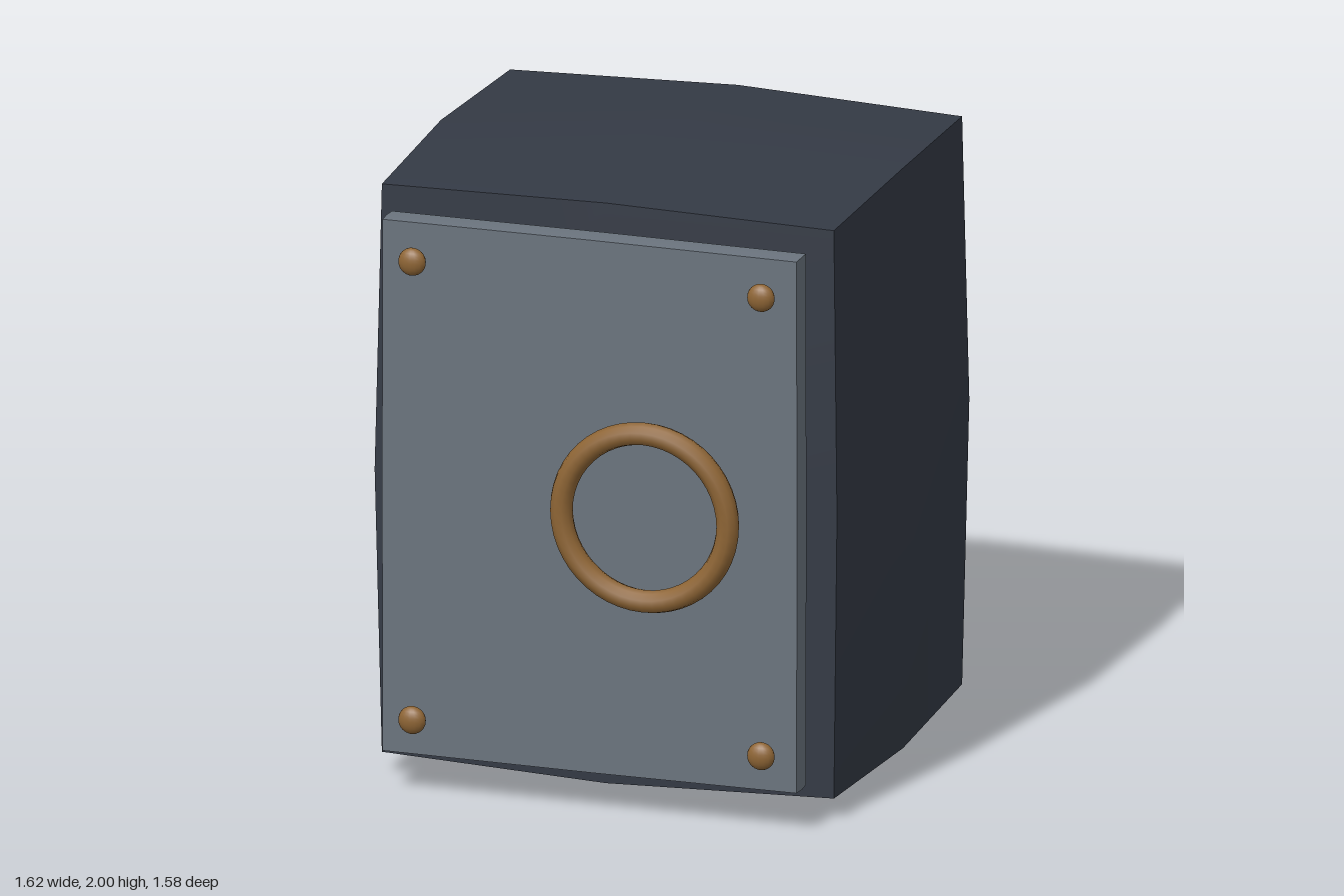
import * as THREE from 'three';

const flat = (name, color) => Object.assign(new THREE.MeshStandardMaterial({ color }), { name });

// Box whose faces swell outward: each axis has its half size at a corner,
// at an edge midpoint and at a face centre.
function bulgedBox(corner, edge, face) {
  const geometry = new THREE.BoxGeometry(2, 2, 2, 2, 2, 2);
  const p = geometry.attributes.position;
  for (let i = 0; i < p.count; i++) {
    const v = [p.getX(i), p.getY(i), p.getZ(i)].map(Math.round);
    const extremes = v.filter((c) => c !== 0).length;
    const half = [null, face, edge, corner][extremes];
    p.setXYZ(i, ...v.map((c, axis) => c * half[axis]));
  }
  geometry.computeVertexNormals();
  return geometry;
}

export function createModel() {
  const model = new THREE.Group();
  model.name = 'safe';
  const darkSlate = flat('dark slate', 0x343a45);
  const greySteel = flat('grey steel', 0x6b747e);
  const brass = flat('brass', 0x8e6535);

  const add = (name, geometry, material, x, y, z) => {
    const mesh = new THREE.Mesh(geometry, material);
    mesh.name = name;
    mesh.position.set(x, y, z);
    model.add(mesh);
    return mesh;
  };

  // Swollen cabinet
  add('cabinet', bulgedBox([0.745, 0.93, 0.62], [0.762, 0.95, 0.64], [0.81, 1, 0.688]),
    darkSlate, 0, 1, -0.102);

  // Front door plate, very slightly swollen
  add('door', bulgedBox([0.682, 0.87, 0.045], [0.684, 0.872, 0.0455], [0.688, 0.875, 0.047]),
    greySteel, 0, 1.004, 0.65);

  // Ring handle
  add('ringHandle', new THREE.TorusGeometry(0.274, 0.037, 10, 48), brass, 0.2, 1.004, 0.75);

  // Corner studs
  const studGeometry = new THREE.SphereGeometry(0.045, 16, 12);
  for (const x of [-0.575, 0.575]) {
    for (const y of [0.254, 1.755]) {
      add('stud', studGeometry, brass, x, y, 0.725).scale.z = 0.63;
    }
  }
  return model;
}
